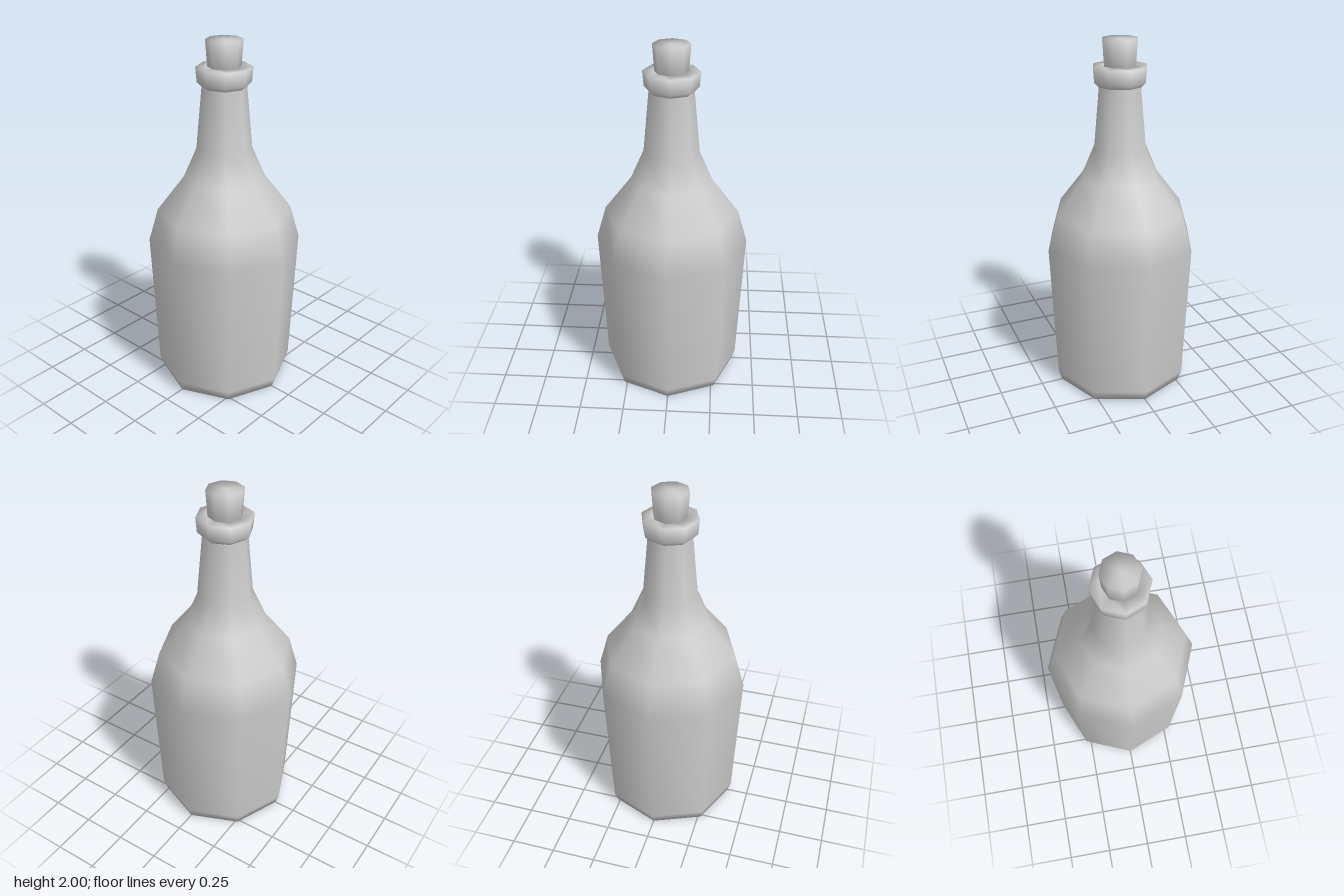
import * as THREE from 'three';

const SIDES = 8;

// Smooth eight-sided turned part from [radius, height] pairs, bottom to top
function turned(name, profile) {
  const points = profile.map(([r, y]) => new THREE.Vector2(r, y));
  const material = new THREE.MeshStandardMaterial({ color: 0xcccccc });
  const mesh = new THREE.Mesh(new THREE.LatheGeometry(points, SIDES), material);
  mesh.name = name;
  return mesh;
}

export function createModel() {
  const bottle = new THREE.Group();
  bottle.name = 'corkedBottle';

  // Base, tapered body, shoulder and neck
  bottle.add(turned('bottleBody', [
    [0, 0], [0.375, 0], [0.395, 0.06], [0.43, 0.86], [0.375, 1.05],
    [0.225, 1.245], [0.153, 1.41], [0.12, 1.76],
  ]));

  // Flared lip, turning in around the mouth
  bottle.add(turned('lip', [
    [0.12, 1.75], [0.146, 1.775], [0.153, 1.857], [0.09, 1.857], [0.088, 1.80],
  ]));

  // Tapered cork, its foot sunk in the mouth
  bottle.add(turned('cork', [[0, 1.81], [0.087, 1.81], [0.1, 2], [0, 2]]));

  return bottle;
}
